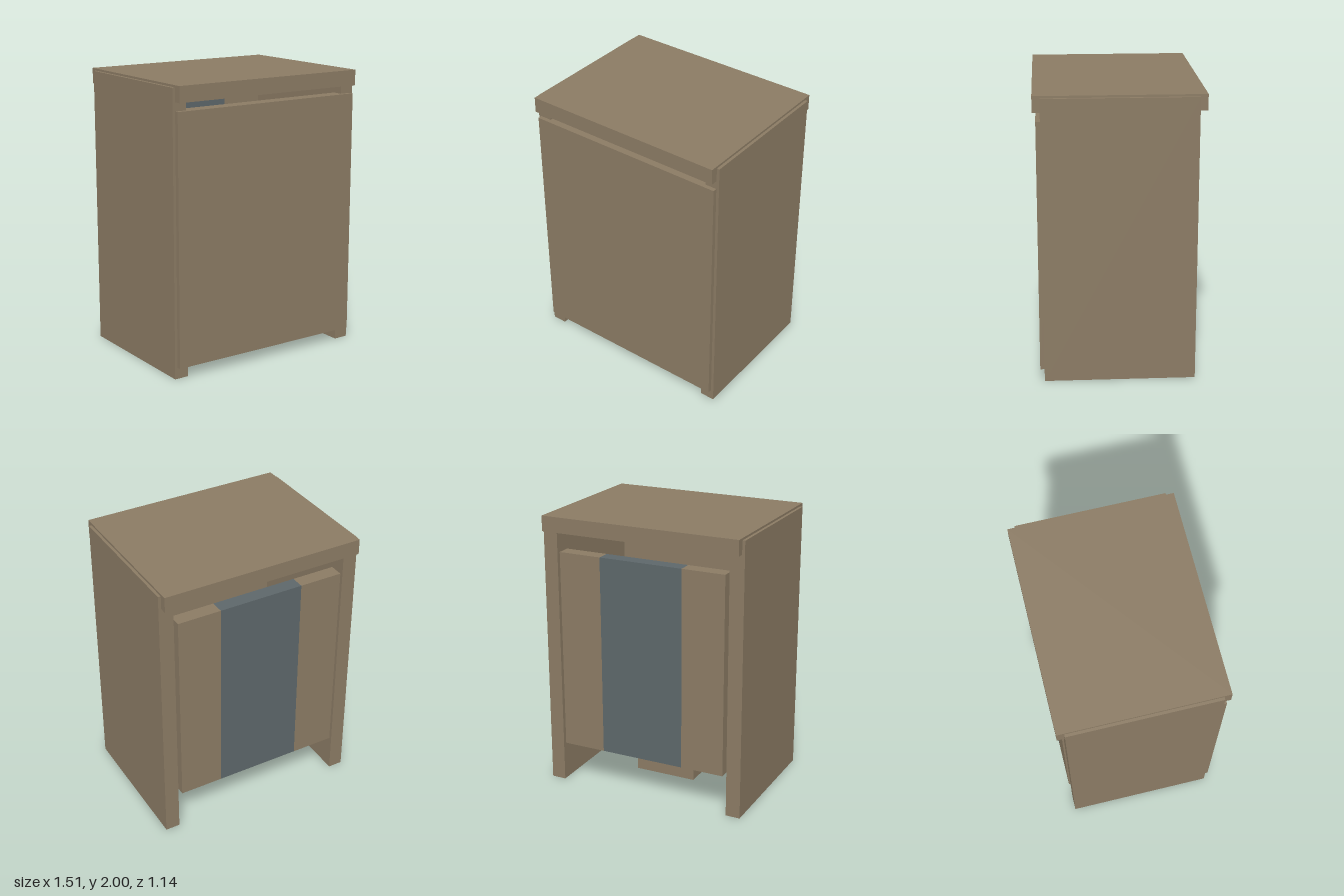
import * as THREE from 'three';

export function createModel() {
  const group = new THREE.Group();
  const wood = new THREE.MeshStandardMaterial({ color: 0x8b7b64 });
  wood.name = 'brown wood';
  const slate = new THREE.MeshStandardMaterial({ color: 0x5d676a });
  slate.name = 'slate blue';

  // Box given by its min and max along each axis
  function addBox(name, material, [x0, x1], [y0, y1], [z0, z1]) {
    const mesh = new THREE.Mesh(new THREE.BoxGeometry(x1 - x0, y1 - y0, z1 - z0), material);
    mesh.position.set((x0 + x1) / 2, (y0 + y1) / 2, (z0 + z1) / 2);
    mesh.name = name;
    group.add(mesh);
  }

  // Carcass: top and front boards
  addBox('topBoard', wood, [-0.735, 0.735], [1.89, 2], [-0.572, 0.572]);
  addBox('frontBoard', wood, [-0.735, 0.735], [0.08, 1.83], [0.445, 0.55]);

  // Side boards and the plain outer parts of the back board
  for (const [side, s] of [['left', 1], ['right', -1]]) {
    const span = (a, b) => (s > 0 ? [a, b] : [-b, -a]);
    addBox(side + 'SideBoard', wood, span(0.65, 0.755), [0, 1.985], [-0.52, 0.52]);
    addBox(side + 'BackBoard', wood, span(0.31, 0.625), [0.3, 1.745], [-0.53, -0.43]);
  }

  // Coloured middle of the back board
  addBox('middleBackBoard', slate, [-0.31, 0.31], [0.3, 1.745], [-0.53, -0.43]);

  // Block standing inside
  addBox('innerBlock', wood, [-0.23, 0.23], [0.02, 1.0], [-0.16, 0.16]);

  return group;
}
